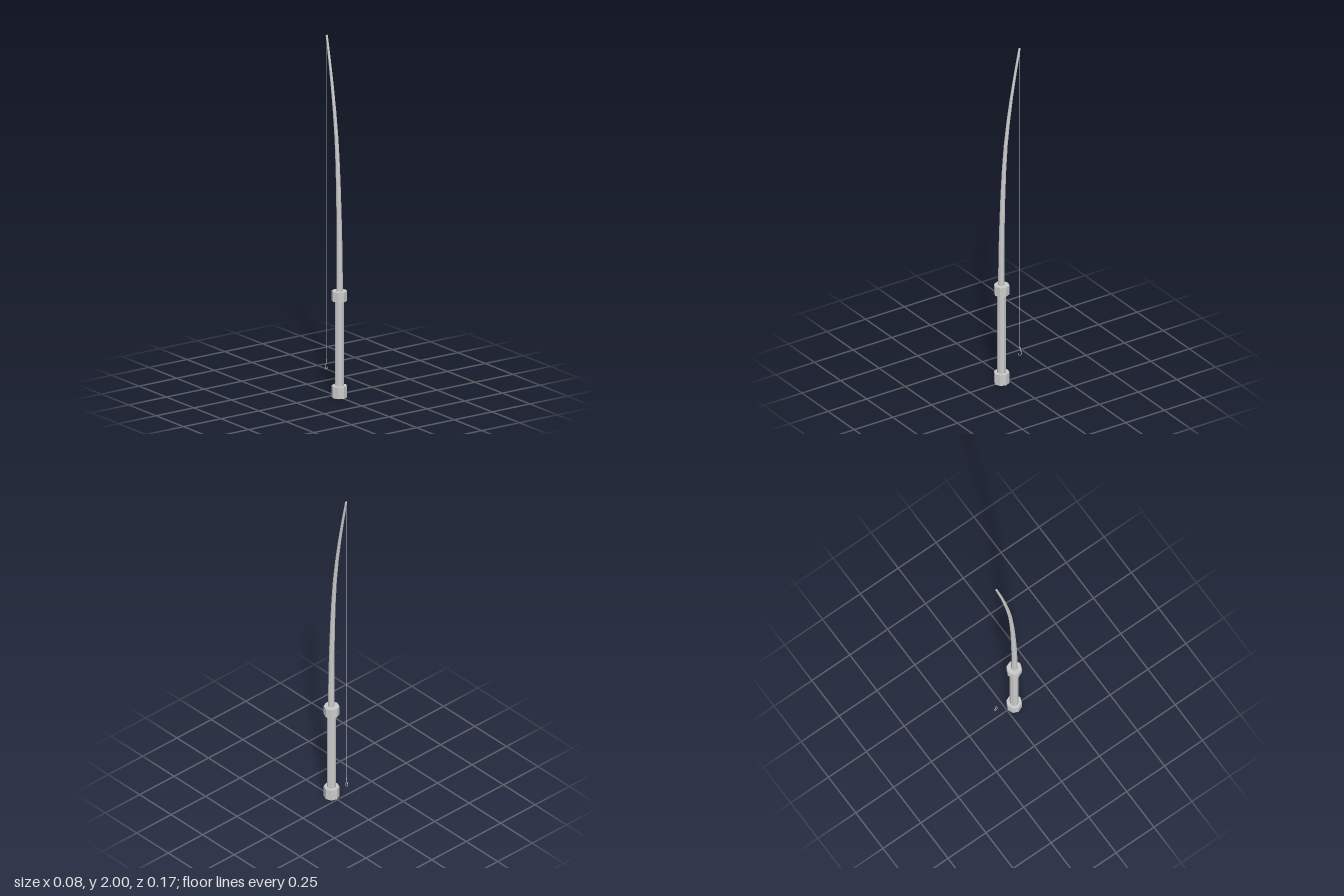
import * as THREE from 'three';

const grey = new THREE.MeshStandardMaterial({ color: 0xcccccc, flatShading: true });
const AXIS_Z = 0.046;

// Catmull-Rom path in the x = 0 plane from [z, y] pairs
const path = (points) => new THREE.CatmullRomCurve3(points.map(([z, y]) => new THREE.Vector3(0, y, z)));

// Tube that narrows from r0 to r1 along its path, closed by a flat cap at each end
function taperedTube(name, curve, segments, sides, r0, r1) {
  const geo = new THREE.TubeGeometry(curve, segments, 1, sides, false);
  const pos = geo.attributes.position;
  const index = Array.from(geo.index.array);
  const v = new THREE.Vector3();
  for (let i = 0; i <= segments; i++) {
    const centre = curve.getPointAt(i / segments);
    const r = THREE.MathUtils.lerp(r0, r1, i / segments);
    for (let j = 0; j <= sides; j++) {
      const k = i * (sides + 1) + j;
      v.fromBufferAttribute(pos, k).sub(centre).multiplyScalar(r).add(centre);
      pos.setXYZ(k, v.x, v.y, v.z);
    }
  }
  const last = segments * (sides + 1);
  for (let j = 1; j < sides - 1; j++) {
    index.push(0, j, j + 1);
    index.push(last, last + j + 1, last + j);
  }
  geo.setIndex(index);
  geo.computeVertexNormals();
  const mat = grey.clone();
  mat.side = THREE.DoubleSide;
  const mesh = new THREE.Mesh(geo, mat);
  mesh.name = name;
  return mesh;
}

// Octagonal upright cylinder between two heights on the rod axis
function ring(name, radius, y0, y1) {
  const mesh = new THREE.Mesh(new THREE.CylinderGeometry(radius, radius, y1 - y0, 8), grey);
  mesh.position.set(0, (y0 + y1) / 2, AXIS_Z);
  mesh.name = name;
  return mesh;
}

export function createModel() {
  const group = new THREE.Group();
  group.name = 'fishingRod';

  // Grip with its end cap and upper collar
  group.add(
    ring('buttCap', 0.042, 0, 0.065),
    ring('handle', 0.025, 0.06, 0.55),
    ring('collar', 0.042, 0.54, 0.595)
  );

  // Bent, tapering pole
  const pole = path([[0.048, 0.58], [0.047, 0.8], [0.042, 1.02], [0.035, 1.2],
    [0.021, 1.42], [-0.003, 1.62], [-0.034, 1.81], [-0.07, 1.999]]);
  group.add(taperedTube('pole', pole, 10, 8, 0.018, 0.006));

  // Line hanging from the tip
  const line = new THREE.Mesh(new THREE.CylinderGeometry(0.001, 0.001, 1.815, 4), grey);
  line.position.set(0, 1.0825, -0.071);
  line.name = 'line';
  group.add(line);

  // Small hook, its point turned to the front
  const hook = path([[-0.073, 0.18], [-0.074, 0.168], [-0.075, 0.156], [-0.083, 0.146],
    [-0.083, 0.135], [-0.073, 0.128], [-0.063, 0.133], [-0.061, 0.146]]);
  group.add(taperedTube('hook', hook, 14, 5, 0.0025, 0.0012));

  return group;
}
